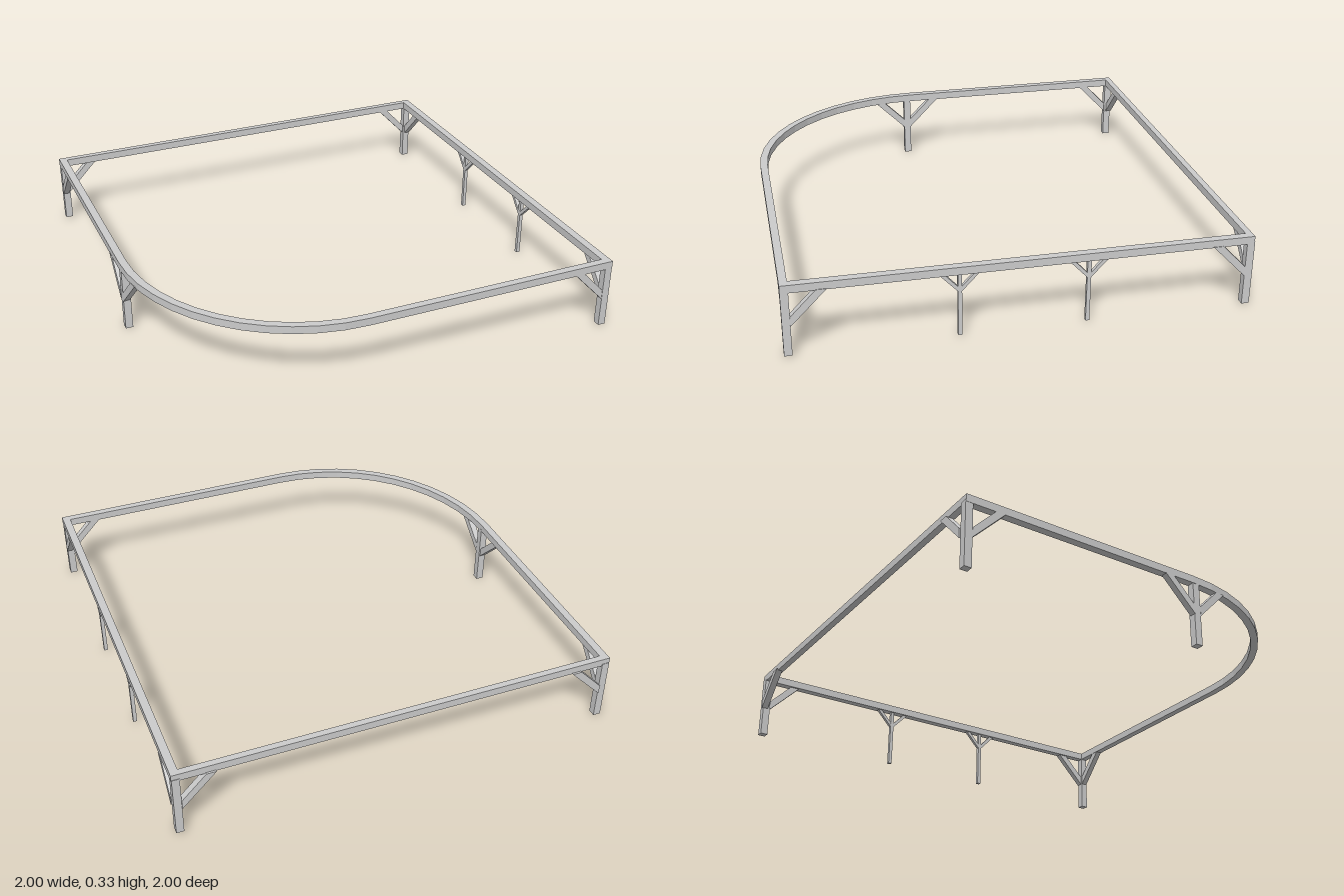
import * as THREE from 'three';

const TOP = 0.33, UNDER = 0.295;

export function createModel() {
  const model = new THREE.Group();
  const material = new THREE.MeshStandardMaterial({ color: 0xcccccc, flatShading: true });

  const add = (geometry, name, parent = model) => {
    const mesh = new THREE.Mesh(geometry, material);
    mesh.name = name;
    parent.add(mesh);
    return mesh;
  };

  // Outline of the frame in x and z, with one large rounded corner
  const outline = (left, right, back, front) => {
    const points = [[right, front], [right, back], [left, back]];
    const cx = -0.18, cz = 0.15, steps = 12;
    for (let i = 0; i <= steps; i++) {
      const a = (i / steps) * Math.PI / 2;
      points.push([cx + (left - cx) * Math.cos(a), cz + (front - cz) * Math.sin(a)]);
    }
    return points.map(([x, z]) => new THREE.Vector2(x, z));
  };

  // Continuous top beam; the hole runs the other way round so its walls face inward
  const shape = new THREE.Shape(outline(-0.998, 0.994, -0.99, 0.997));
  shape.holes.push(new THREE.Path(outline(-0.963, 0.958, -0.961, 0.963).reverse()));
  const beam = new THREE.ExtrudeGeometry(shape, { depth: TOP - UNDER, bevelEnabled: false });
  beam.rotateX(Math.PI / 2).translate(0, TOP, 0);
  add(beam, 'topBeam');

  // Diagonal brace with its ends cut flush with post and beam
  const brace = (parent, dx, dz, start, low, reach, thick, depth, out) => {
    const s = new THREE.Shape([
      new THREE.Vector2(start, low),
      new THREE.Vector2(reach, UNDER + 0.004),
      new THREE.Vector2(reach - thick, UNDER + 0.004),
      new THREE.Vector2(start, low + thick),
    ]);
    const g = new THREE.ExtrudeGeometry(s, { depth, bevelEnabled: false });
    g.translate(0, 0, -depth / 2).rotateY(Math.atan2(-dz, dx));
    add(g, 'brace', parent).position.set(out[0], 0, out[1]);
  };

  const post = (name, x, z, width, bottom) => {
    const group = new THREE.Group();
    group.name = name;
    group.position.set(x, 0, z);
    const height = UNDER + 0.01 - bottom;
    const g = new THREE.BoxGeometry(width, height, width);
    add(g.translate(0, bottom + height / 2, 0), 'post', group);
    model.add(group);
    return group;
  };

  // Square corner posts, each with two braces; outX and outZ set them slightly outward
  const corners = [
    ['frontLeftPost', 0.976, 0.98, -1, -1, 0.006, 0],
    ['backLeftPost', 0.976, -0.975, -1, 1, 0.006, -0.009],
    ['backRightPost', -0.98, -0.975, 1, 1, -0.004, -0.009],
  ];
  for (const [name, x, z, dx, dz, outX, outZ] of corners) {
    const group = post(name, x, z, 0.034, 0.008);
    brace(group, dx, 0, 0.016, 0.143, 0.168, 0.044, 0.03, [0, outZ]);
    brace(group, 0, dz, 0.016, 0.143, 0.168, 0.044, 0.03, [outX, 0]);
  }

  // Post where the curve begins; its front brace leans along the bend
  const curvePost = post('curvePost', -0.979, 0.165, 0.034, 0);
  brace(curvePost, 0, -1, 0.016, 0.143, 0.17, 0.044, 0.03, [-0.005, 0]);
  brace(curvePost, 0.1, 1, 0.016, 0.143, 0.172, 0.044, 0.03, [-0.004, 0]);

  // Slim posts under the long straight side
  for (const z of [0.275, -0.27]) {
    const group = post('slimPost', 0.976, z, 0.017, 0.008);
    for (const d of [-1, 1]) brace(group, 0, d, 0.007, 0.213, 0.088, 0.022, 0.016, [0, 0]);
  }

  return model;
}
